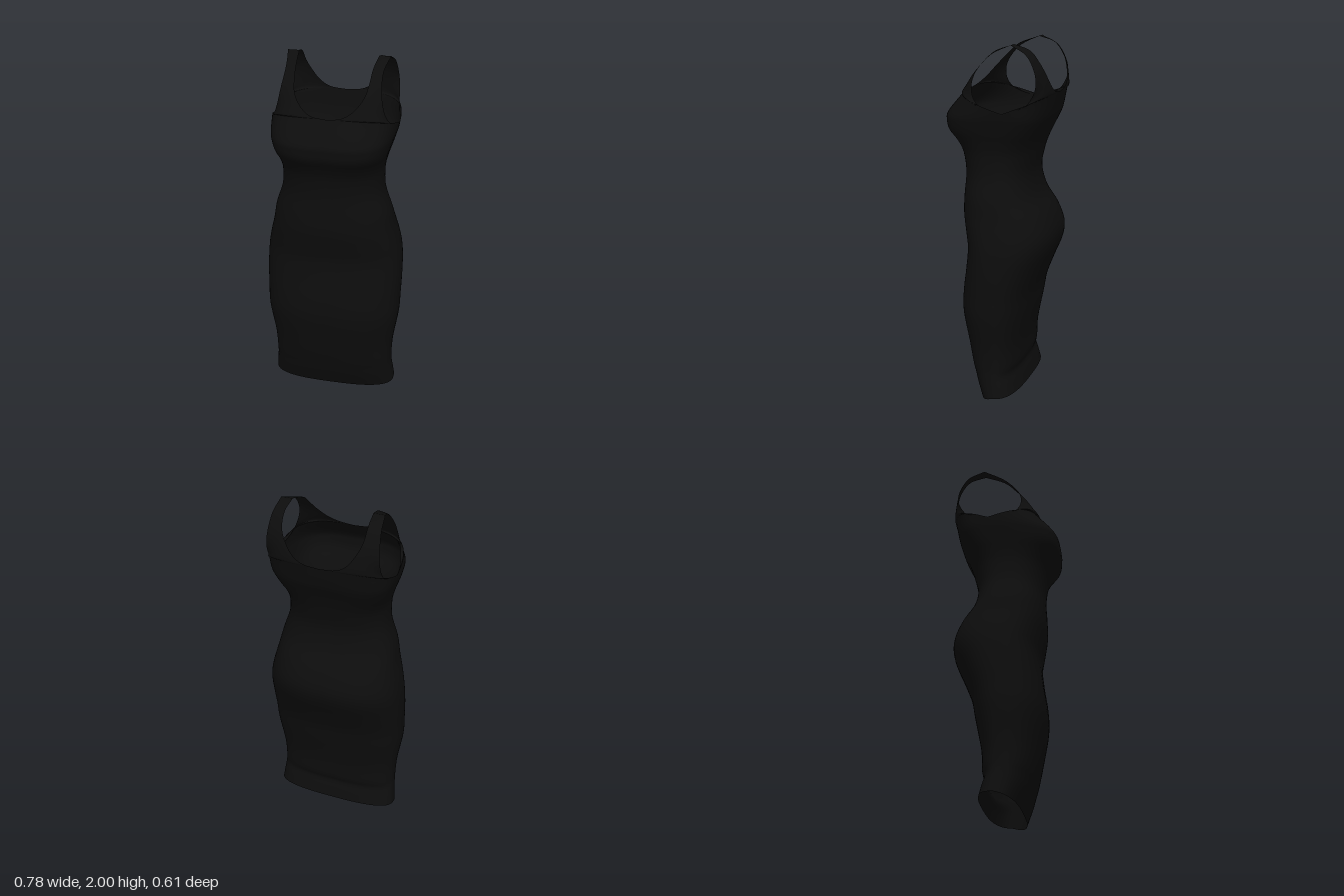
import * as THREE from 'three';
import { mergeGeometries, mergeVertices } from 'three/addons/utils/BufferGeometryUtils.js';

// Body sections: height, half width, side z, front z, back z, roundness, front and back height offsets
const BODY = [
  [0.03, 0.36, -0.03, 0.077, -0.145, 2.8, -0.03, 0.01],
  [0.1, 0.352, -0.02, 0.115, -0.13, 2.7, -0.01, 0],
  [0.15, 0.347, -0.01, 0.135, -0.117, 2.6],
  [0.2, 0.345, 0, 0.15, -0.13, 2.6],
  [0.32, 0.353, 0, 0.178, -0.137, 2.5],
  [0.5, 0.382, 0, 0.21, -0.172, 2.5],
  [0.62, 0.387, -0.01, 0.208, -0.195, 2.5],
  [0.75, 0.39, -0.02, 0.19, -0.245, 2.5],
  [0.87, 0.385, -0.03, 0.18, -0.295, 2.5],
  [0.96, 0.37, -0.03, 0.195, -0.303, 2.5],
  [1.06, 0.345, -0.02, 0.213, -0.265, 2.5],
  [1.16, 0.325, 0, 0.214, -0.2, 2.4],
  [1.28, 0.287, 0, 0.21, -0.173, 2.4],
  [1.39, 0.281, 0, 0.225, -0.192, 2.5],
  [1.46, 0.293, -0.01, 0.255, -0.212, 2.8],
  [1.52, 0.312, -0.03, 0.295, -0.235, 3.2],
  [1.57, 0.327, -0.05, 0.304, -0.258, 3.3],
  [1.61, 0.338, -0.07, 0.295, -0.277, 3.2, 0.01, 0.01],
  [1.645, 0.345, -0.08, 0.205, -0.3, 3, 0.083, 0.083],
];
// Neckline and armhole edges of the front and back, ending on the shoulder seam
const FRONT = {
  neck: [[0, 1.728, 0.205], [0.08, 1.738, 0.2], [0.14, 1.772, 0.172], [0.185, 1.83, 0.128],
    [0.201, 1.89, 0.072], [0.208, 1.955, 0], [0.22, 1.995, -0.11]],
  arm: [[0.345, 1.645, -0.08], [0.333, 1.655, 0], [0.31, 1.695, 0.075], [0.288, 1.765, 0.105],
    [0.272, 1.85, 0.085], [0.264, 1.94, 0.005], [0.283, 1.995, -0.11]],
};
const BACK = {
  neck: [[0, 1.728, -0.3], [0.09, 1.738, -0.3], [0.15, 1.775, -0.295], [0.195, 1.84, -0.278],
    [0.22, 1.9, -0.252], [0.225, 1.965, -0.2], [0.22, 1.995, -0.11]],
  arm: [[0.345, 1.645, -0.08], [0.336, 1.655, -0.14], [0.318, 1.69, -0.205], [0.312, 1.765, -0.25],
    [0.306, 1.85, -0.25], [0.295, 1.945, -0.2], [0.283, 1.995, -0.11]],
};
const YOKE_ROUNDNESS = [3, 2.7, 2.1, 1.6, 1.3, 1.2, 1.1];

const curve = (pts) => new THREE.CatmullRomCurve3(pts.map((p) => new THREE.Vector3(...p)), false, 'catmullrom', 0.5);

// Quarter shell spanning two edge curves with rounded cross-sections
function quarter(inner, outer, roundness, rows, side, face) {
  const cols = 20, pos = [], index = [];
  const a = curve(inner), b = curve(outer);
  const round = curve(roundness.map((n) => [n, 0, 0]));
  for (let r = 0; r <= rows; r++) {
    const t = r / rows;
    const p = a.getPoint(t), q = b.getPoint(t);
    const e = 2 / round.getPoint(t).x;
    for (let c = 0; c <= cols; c++) {
      const angle = (c / cols) * Math.PI / 2;
      const s = c === cols ? 1 : Math.sin(angle) ** e;
      const k = c === cols ? 0 : Math.cos(angle) ** e;
      pos.push(side * (p.x + (q.x - p.x) * s), q.y + (p.y - q.y) * k, q.z + (p.z - q.z) * k);
    }
  }
  for (let r = 0; r < rows; r++) {
    for (let c = 0; c < cols; c++) {
      const i = r * (cols + 1) + c, j = i + cols + 1;
      if (side * face > 0) index.push(i, i + 1, j, i + 1, j + 1, j);
      else index.push(i, j, i + 1, i + 1, j, j + 1);
    }
  }
  const g = new THREE.BufferGeometry();
  g.setAttribute('position', new THREE.Float32BufferAttribute(pos, 3));
  g.setIndex(index);
  return g;
}

export function createModel() {
  const fabric = new THREE.MeshStandardMaterial({ color: 0x0d0d0d, side: THREE.DoubleSide });
  fabric.name = 'black fabric';

  const sideSeam = BODY.map(([y, x, z]) => [x, y, z]);
  const frontLine = BODY.map(([y, , , zf, , , d = 0]) => [0, y + d, zf]);
  const backLine = BODY.map(([y, , , , zb, , , d = 0]) => [0, y + d, zb]);
  const bodyRoundness = BODY.map((row) => row[5]);

  // Mirrored quarters of the skirt and bodice, then of the yoke and straps
  const parts = [];
  for (const side of [1, -1]) {
    parts.push(quarter(frontLine, sideSeam, bodyRoundness, 72, side, 1));
    parts.push(quarter(backLine, sideSeam, bodyRoundness, 72, side, -1));
    parts.push(quarter(FRONT.neck, FRONT.arm, YOKE_ROUNDNESS, 30, side, 1));
    parts.push(quarter(BACK.neck, BACK.arm, YOKE_ROUNDNESS, 30, side, -1));
  }
  // Weld the quarters so the cloth shades as one smooth surface
  const cloth = mergeVertices(mergeGeometries(parts), 1e-4);
  cloth.computeVertexNormals();

  const dress = new THREE.Mesh(cloth, fabric);
  dress.name = 'dress';
  const group = new THREE.Group();
  group.name = 'sleevelessDress';
  group.add(dress);
  return group;
}
